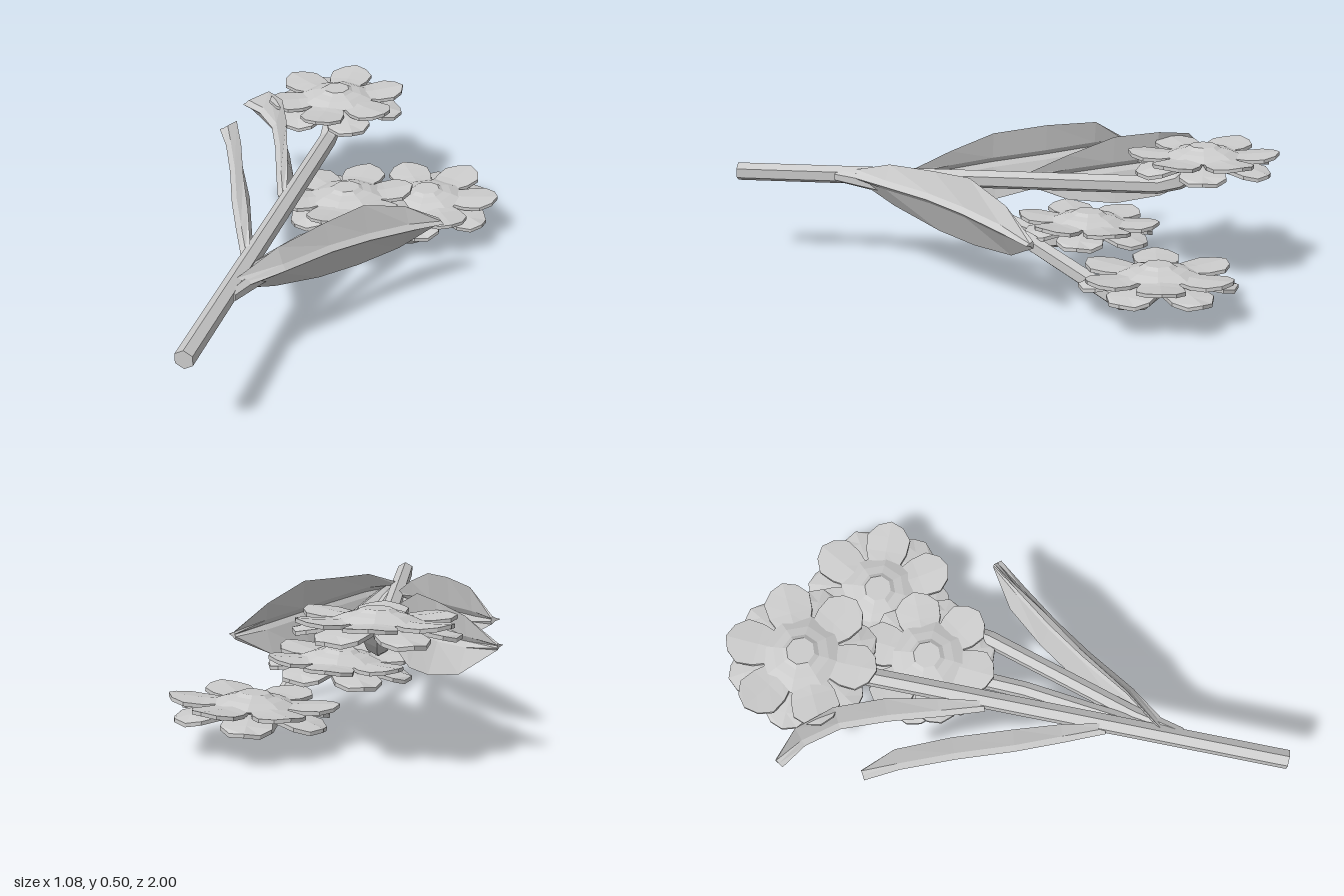
import * as THREE from 'three';

const mat = new THREE.MeshStandardMaterial({ color: 0xcccccc, flatShading: true, side: THREE.DoubleSide });
const vec = (a) => new THREE.Vector3(a[0], a[1], a[2]);

// Skin a list of equal-sized rings and cap both ends
function loft(rings) {
  const pos = [], n = rings[0].length;
  const tri = (...pts) => pts.forEach((p) => pos.push(p.x, p.y, p.z));
  for (let i = 0; i < rings.length - 1; i++) {
    for (let j = 0; j < n; j++) {
      const k = (j + 1) % n;
      const a = rings[i][j], b = rings[i][k], c = rings[i + 1][k], d = rings[i + 1][j];
      tri(a, b, c);
      tri(a, c, d);
    }
  }
  const first = rings[0], last = rings[rings.length - 1];
  for (let j = 1; j < n - 1; j++) {
    tri(first[0], first[j + 1], first[j]);
    tri(last[0], last[j], last[j + 1]);
  }
  const geo = new THREE.BufferGeometry();
  geo.setAttribute('position', new THREE.Float32BufferAttribute(pos, 3));
  geo.computeVertexNormals();
  return geo;
}

// Point, sideways axis and upward axis for each step of a path
function frames(path) {
  const pts = path.map(vec);
  return pts.map((p, i) => {
    const t = pts[Math.min(i + 1, pts.length - 1)].clone().sub(pts[Math.max(i - 1, 0)]).normalize();
    const s = t.clone().cross(new THREE.Vector3(0, 1, 0)).normalize();
    return { p, s, u: s.clone().cross(t) };
  });
}

function addMesh(parent, name, geo) {
  const mesh = new THREE.Mesh(geo, mat);
  mesh.name = name;
  parent.add(mesh);
  return mesh;
}

// Six-sided stalk; every path entry is x, y, z, radius
function stem(path) {
  return loft(frames(path).map(({ p, s, u }, i) =>
    Array.from({ length: 6 }, (_, j) => {
      const a = (j * Math.PI) / 3, r = path[i][3];
      return p.clone().addScaledVector(u, Math.cos(a) * r).addScaledVector(s, Math.sin(a) * r);
    })));
}

// Leaning cupped blade with a raised rib on its outer side (out is +1 or -1);
// every path entry is x, y, z, height above rib, depth below rib
function leaf(path, out) {
  return loft(frames(path).map(({ p, s }, i) => {
    const [, , , top, bottom] = path[i];
    const rib = Math.min(0.018, top * 0.4, bottom * 0.4);
    const cupTop = Math.min(0.016, top * 0.3), cupBottom = Math.min(0.042, bottom * 0.4);
    const at = (y, side) => p.clone().add(new THREE.Vector3(0, y, 0)).addScaledVector(s, side * out);
    const ring = [
      at(top, -cupTop), at(rib, 0.01), at(0, 0.028), at(-rib, 0.008),
      at(-bottom, -cupBottom), at(-rib, -0.01), at(0, 0.002), at(rib, -0.008),
    ];
    return out > 0 ? ring : ring.reverse();
  }));
}

// Thick petal along +x with a blunt tip; lift raises or droops the tip
function petal(length, lift) {
  const geo = new THREE.BoxGeometry(1, 1, 1, 4, 1, 2);
  const a = geo.attributes.position;
  const width = [0.03, 0.055, 0.077, 0.082, 0.048];
  const bend = [0, 0.25, 0.2, 0.55, 1];
  for (let i = 0; i < a.count; i++) {
    const step = Math.round((a.getX(i) + 0.5) * 4), side = a.getZ(i) * 2;
    const tipBack = step === 4 ? Math.abs(side) * 0.018 : 0;
    a.setXYZ(i,
      0.04 + (length - 0.04) * (step / 4) - tipBack,
      lift * bend[step] + a.getY(i) * 0.013 - Math.abs(side) * 0.006,
      side * width[step]);
  }
  return geo;
}

// Two whorls of petals around a low eight-sided crown
function flower(name, x, y, z, radius, tiltX, tiltZ, turn) {
  const g = new THREE.Group();
  g.name = name;
  for (let i = 0; i < 12; i++) {
    const upper = i % 2 === 0;
    const m = addMesh(g, upper ? 'upperPetal' : 'lowerPetal',
      petal(upper ? radius : radius * 0.98, upper ? 0.012 : -0.026));
    m.rotation.y = turn + (i * Math.PI) / 6;
    m.position.y = upper ? 0.006 : -0.008;
  }
  const profile = [[0, -0.02], [0.06, -0.02], [0.145, 0.008], [0.1, 0.026], [0.066, 0.034], [0.05, 0.044], [0, 0.044]];
  addMesh(g, 'crown', new THREE.LatheGeometry(profile.map((q) => new THREE.Vector2(q[0], q[1])), 8));
  g.position.set(x, y, z);
  g.rotation.set(tiltX, 0, tiltZ);
  return g;
}

export function createModel() {
  const model = new THREE.Group();
  model.name = 'flowerSpray';

  // Main stalk and the two branches that dip, then turn up into their flowers
  addMesh(model, 'mainStem', stem([
    [-0.147, 0.345, 1, 0.034], [-0.147, 0.345, 0.2, 0.034], [-0.147, 0.345, -0.57, 0.034],
    [-0.15, 0.365, -0.64, 0.038], [-0.152, 0.405, -0.685, 0.05], [-0.155, 0.455, -0.725, 0.056]]));
  addMesh(model, 'longBranch', stem([
    [-0.13, 0.345, 0.62, 0.022], [-0.09, 0.33, 0.45, 0.03], [0.13, 0.21, -0.12, 0.032],
    [0.242, 0.034, -0.465, 0.034], [0.252, 0.045, -0.52, 0.038], [0.26, 0.09, -0.55, 0.048], [0.262, 0.135, -0.575, 0.054]]));
  addMesh(model, 'shortBranch', stem([
    [-0.14, 0.345, 0.6, 0.022], [-0.12, 0.33, 0.42, 0.028], [-0.05, 0.25, 0.05, 0.03],
    [-0.012, 0.165, -0.19, 0.032], [-0.006, 0.18, -0.25, 0.036], [0, 0.23, -0.31, 0.052]]));

  // Flowers
  model.add(flower('topFlower', -0.155, 0.455, -0.73, 0.272, 0.02, 0.02, 0.5));
  model.add(flower('sideFlower', 0.258, 0.142, -0.583, 0.28, 0.02, 0.06, 0.05));
  model.add(flower('nearFlower', 0, 0.24, -0.327, 0.255, -0.02, 0.06, 0.42));

  // Leaves
  addMesh(model, 'leftLeaf', leaf([
    [-0.16, 0.345, 0.35, 0.02, 0.02], [-0.225, 0.355, 0.21, 0.075, 0.095], [-0.295, 0.37, 0.055, 0.115, 0.135],
    [-0.37, 0.385, -0.14, 0.118, 0.11], [-0.45, 0.4, -0.32, 0.1, 0.075], [-0.515, 0.41, -0.43, 0.012, 0.015]], -1));
  addMesh(model, 'leftBackLeaf', leaf([
    [-0.165, 0.345, -0.08, 0.02, 0.02], [-0.22, 0.355, -0.23, 0.075, 0.09], [-0.278, 0.37, -0.4, 0.12, 0.13],
    [-0.345, 0.38, -0.56, 0.115, 0.125], [-0.435, 0.385, -0.67, 0.085, 0.1], [-0.53, 0.385, -0.73, 0.01, 0.012]], -1));
  addMesh(model, 'rightLeaf', leaf([
    [-0.13, 0.35, 0.55, 0.02, 0.02], [-0.025, 0.35, 0.41, 0.072, 0.09], [0.085, 0.34, 0.23, 0.095, 0.135],
    [0.185, 0.325, 0.09, 0.12, 0.135], [0.3, 0.305, -0.05, 0.08, 0.105], [0.395, 0.287, -0.16, 0.012, 0.015]], 1));

  return model;
}
